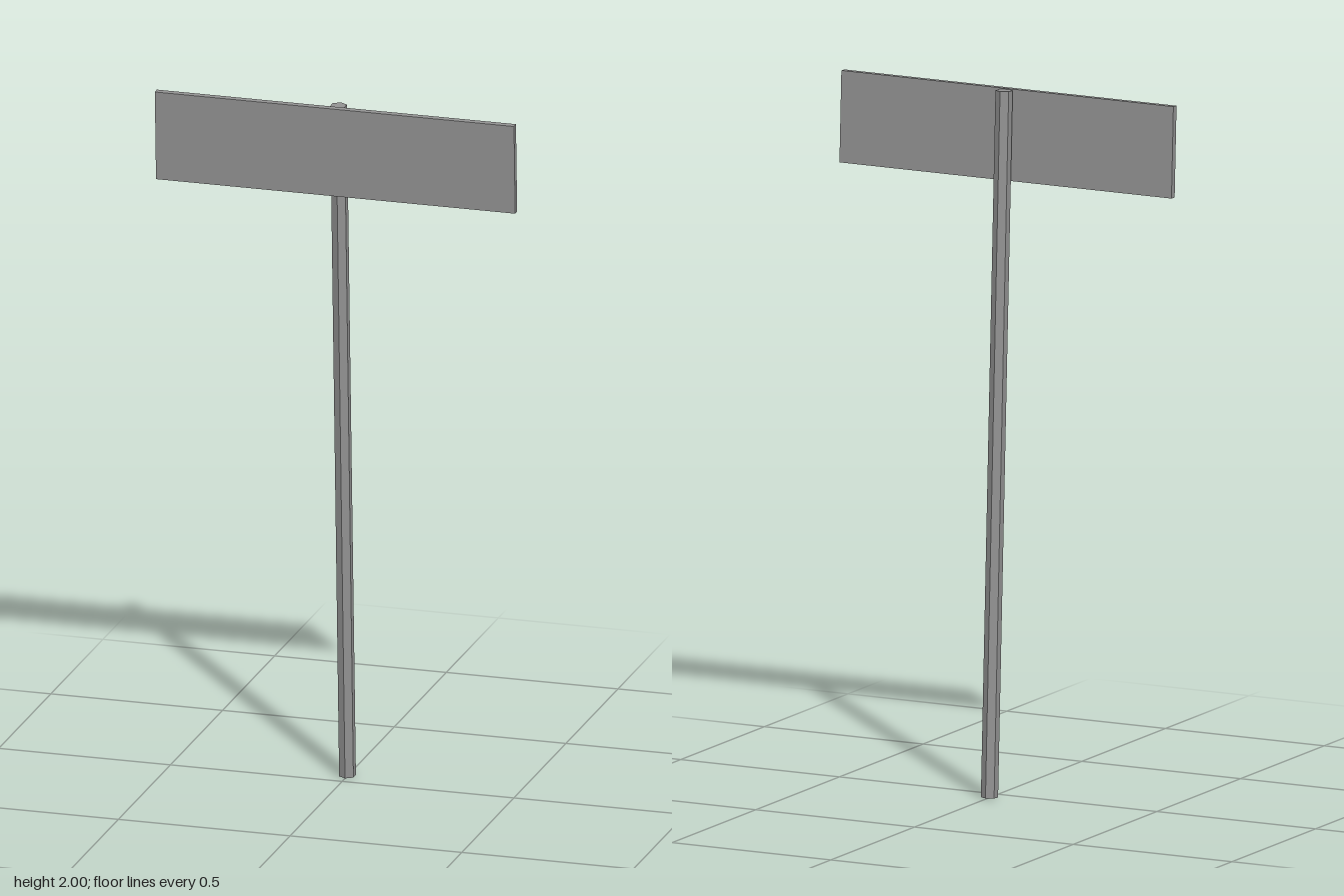
import * as THREE from 'three';

export function createModel() {
  const group = new THREE.Group();
  const metal = new THREE.MeshStandardMaterial({ color: 0x929292, flatShading: true });
  metal.name = 'grey metal';

  // The whole sign leans forward
  const lean = THREE.MathUtils.degToRad(2.5);

  const addPart = (name, geometry, y, z) => {
    const mesh = new THREE.Mesh(geometry, metal);
    mesh.name = name;
    mesh.position.set(0, y, z);
    mesh.rotation.x = lean;
    group.add(mesh);
  };

  // Hexagonal post with a corner facing front
  addPart('post', new THREE.CylinderGeometry(0.024, 0.024, 1.999, 6), 1, -0.008);

  // Flat sign board fixed to the front of the post
  addPart('signBoard', new THREE.BoxGeometry(1.046, 0.26, 0.019), 1.87, 0.059);

  return group;
}
